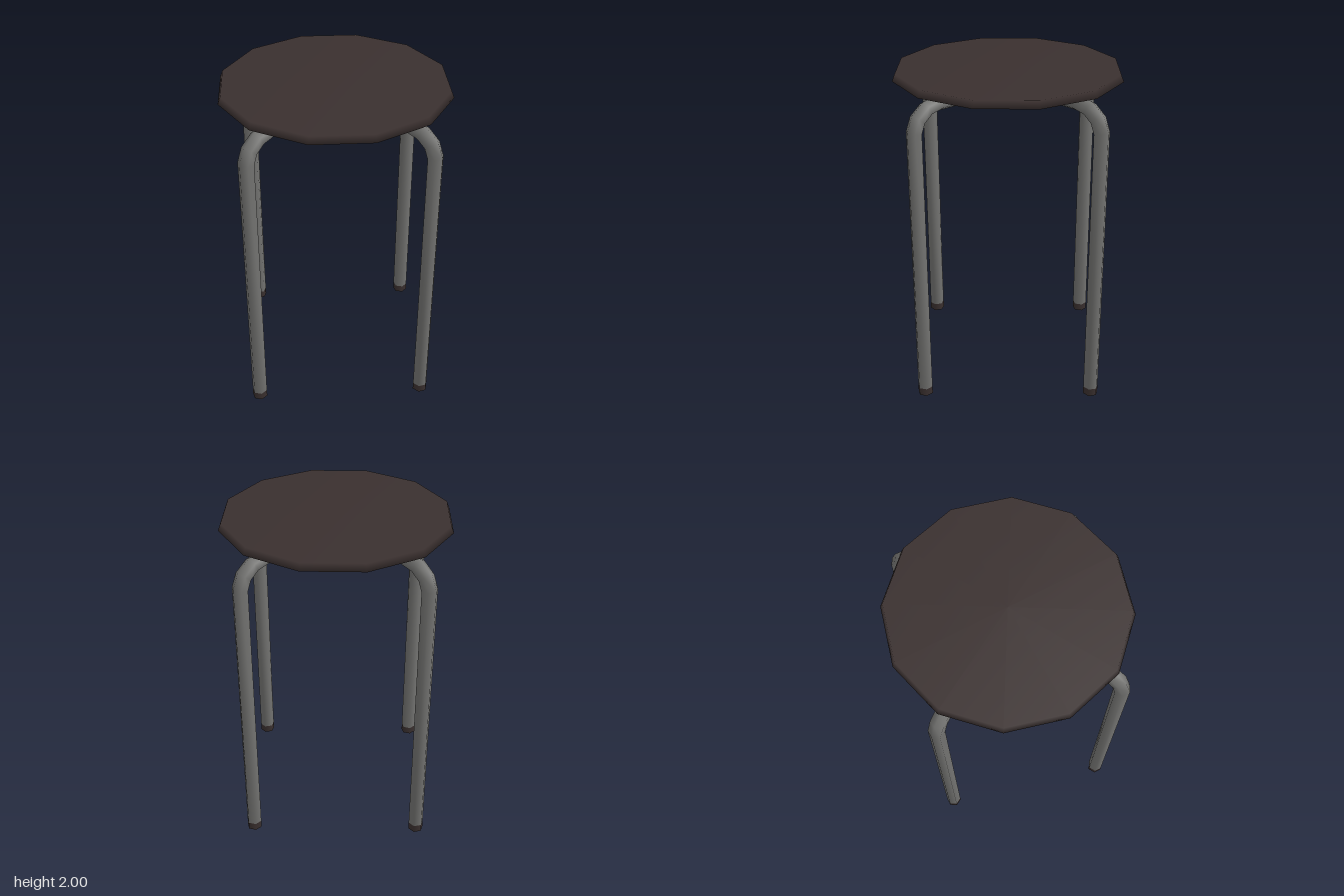
import * as THREE from 'three';

const seatBrown = new THREE.MeshStandardMaterial({ color: 0x3a302f });
seatBrown.name = 'dark brown';
const metal = new THREE.MeshStandardMaterial({ color: 0x747472 });
metal.name = 'grey metal';

const TUBE = 0.048, SIDES = 6, FOOT = 0.05, SPREAD = 0.747, SKEW = 0.005;

// Hexagonal tube swept along a path in the xy plane, with mitred bends
function sweep(path) {
  const pos = [], index = [];
  path.forEach((p, i) => {
    const a = path[Math.max(i - 1, 0)], b = path[Math.min(i + 1, path.length - 1)];
    const d1 = p.clone().sub(a).setZ(0), d2 = b.clone().sub(p).setZ(0);
    if (i === 0) d1.copy(d2);
    if (i === path.length - 1) d2.copy(d1);
    d1.normalize();
    d2.normalize();
    const t = d1.clone().add(d2).normalize();
    const r = TUBE / t.dot(d1);
    for (let k = 0; k < SIDES; k++) {
      const ang = (k / SIDES) * Math.PI * 2, c = Math.cos(ang) * r;
      pos.push(p.x - t.y * c, p.y + t.x * c, p.z + Math.sin(ang) * TUBE);
      if (i === 0) continue;
      const n = (k + 1) % SIDES, lo = (i - 1) * SIDES, hi = i * SIDES;
      index.push(lo + k, lo + n, hi + k, lo + n, hi + n, hi + k);
    }
  });
  const g = new THREE.BufferGeometry();
  g.setAttribute('position', new THREE.Float32BufferAttribute(pos, 3));
  g.setIndex(index);
  g.computeVertexNormals();
  return g;
}

// One bent tube makes two opposite legs and the bar under the seat
function legPair(name, dip) {
  const group = new THREE.Group();
  group.name = name;
  const half = [[SPREAD, FOOT], [SPREAD, 1.765], [0.718, 1.835], [0.652, 1.884], [0.56, 1.902]];
  const left = half.map(([x, y]) => new THREE.Vector3(-x, y, SKEW));
  const right = half.map(([x, y]) => new THREE.Vector3(x, y, -SKEW)).reverse();
  const middle = new THREE.Vector3(0, 1.902 - dip, 0);
  const tube = new THREE.Mesh(sweep([...left, middle, ...right]), metal);
  tube.name = 'legTube';
  group.add(tube);

  // Dark end caps on the floor
  for (const s of [-1, 1]) {
    const foot = new THREE.Mesh(
      new THREE.CylinderGeometry(TUBE, TUBE, FOOT, SIDES, 1, false, Math.PI / 2), seatBrown);
    foot.name = 'footCap';
    foot.position.set(s * SPREAD, FOOT / 2, -s * SKEW);
    group.add(foot);
  }
  return group;
}

export function createModel() {
  const model = new THREE.Group();
  model.name = 'stool';

  // Twelve-sided seat, widest near its lower edge
  const profile = [[0.66, 1.948], [0.705, 1.957], [0.688, 2], [0, 2]].map(([x, y]) => new THREE.Vector2(x, y));
  const seat = new THREE.Mesh(new THREE.LatheGeometry(profile, 12), seatBrown);
  seat.name = 'seat';
  model.add(seat);

  // Underside of the seat
  const underside = new THREE.Mesh(new THREE.CircleGeometry(0.66, 12), metal);
  underside.name = 'seatUnderside';
  underside.rotation.x = Math.PI / 2;
  underside.position.y = 1.948;
  model.add(underside);

  // Two crossing leg pairs, one bar dipping slightly in the middle
  model.add(legPair('sideLegs', 0));
  const frontBack = legPair('frontAndBackLegs', 0.02);
  frontBack.rotation.y = Math.PI / 2;
  model.add(frontBack);

  return model;
}
